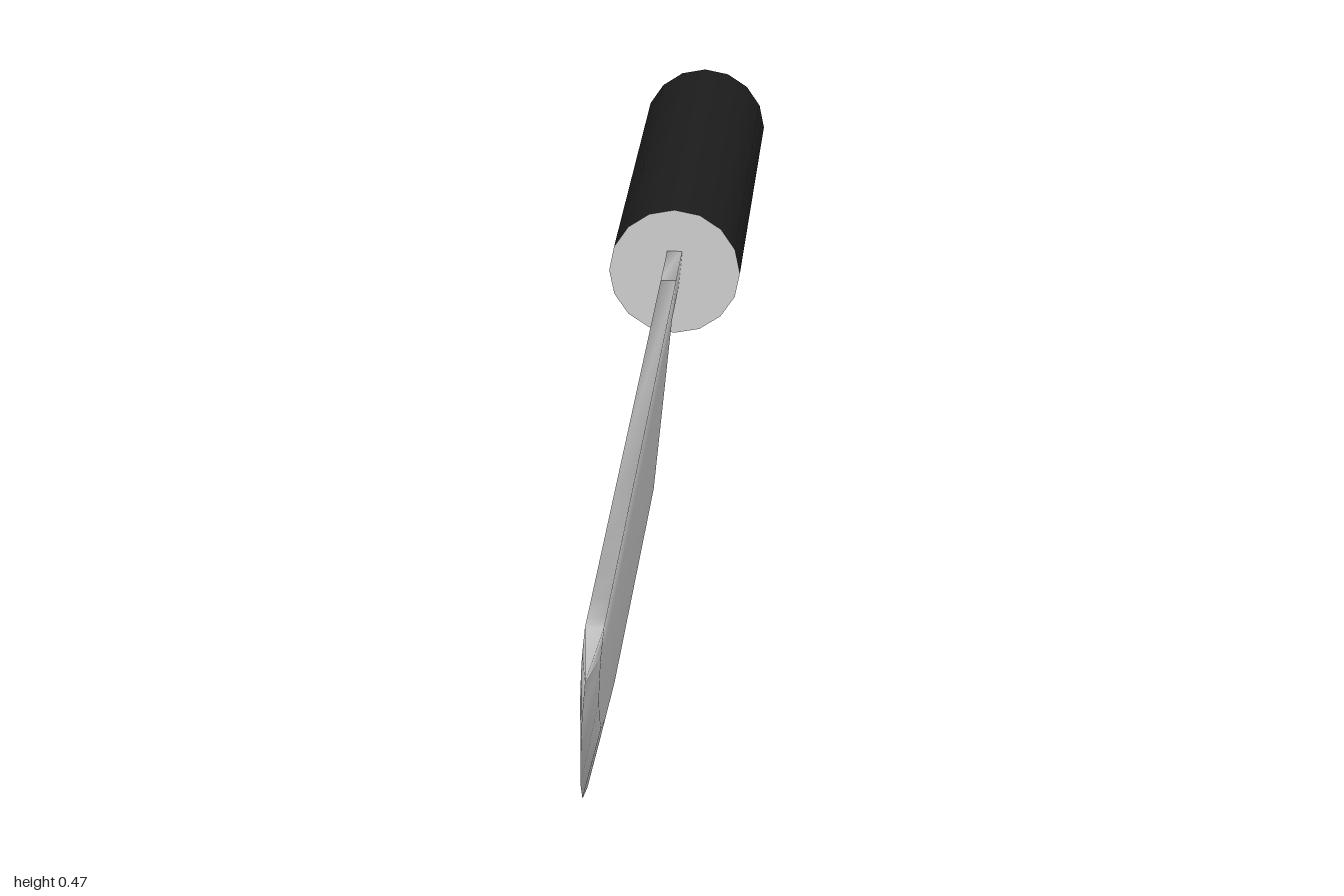
import * as THREE from 'three';

const HALF = 0.011; // half thickness of the steel

// Centre plane of the steel: leans with height and drifts along its length
const planeX = (y, z) => -0.006 - 0.0175 * (z + 0.335) - 0.1 * (0.415 - y);

// Joins rings of [side, y, z] (counterclockwise seen from +z) and closes both ends
function loft(rings) {
  const n = rings[0].length;
  const pos = [], idx = [];
  for (const ring of rings) {
    for (const [s, y, z] of ring) pos.push(planeX(y, z) + s * HALF, y, z);
  }
  for (let i = 0; i < rings.length - 1; i++) {
    for (let j = 0; j < n; j++) {
      const k = (j + 1) % n;
      const a = i * n + j, b = i * n + k, c = b + n, d = a + n;
      idx.push(a, b, c, a, c, d);
    }
  }
  const last = (rings.length - 1) * n;
  for (let k = 1; k < n - 1; k++) {
    idx.push(0, k + 1, k);
    idx.push(last, last + k, last + k + 1);
  }
  const g = new THREE.BufferGeometry();
  g.setAttribute('position', new THREE.Float32BufferAttribute(pos, 3));
  g.setIndex(idx);
  g.computeVertexNormals();
  return g;
}

// One blade section: cutting edge, bevel line, shoulder and spine
function bladeRing([ez, ey, bz, by, tz, ty]) {
  const sy = Math.max(0.36, (by + ty) / 2);
  const sz = THREE.MathUtils.lerp(tz, bz, (ty - sy) / (ty - by));
  return [
    [0, ey, ez],
    [1, by, bz], [1, sy, sz], [1, ty, tz],
    [-1, ty, tz], [-1, sy, sz], [-1, by, bz],
  ];
}

export function createModel() {
  const steel = new THREE.MeshStandardMaterial({ color: 0xcccccc });
  steel.name = 'steel';
  const black = new THREE.MeshStandardMaterial({ color: 0x1c1c1c });
  black.name = 'black';

  const group = new THREE.Group();
  group.name = 'knife';
  const add = (name, geometry, material) => {
    const mesh = new THREE.Mesh(geometry, material);
    mesh.name = name;
    group.add(mesh);
    return mesh;
  };

  // Blade from heel to tip: edge z, y, bevel z, y, spine z, y
  const sections = [
    [-0.217, 0.006, -0.217, 0.09, -0.217, 0.415],
    [0.475, 0.037, 0.45, 0.115, 0.4, 0.417],
    [0.67, 0.08, 0.62, 0.15, 0.58, 0.418],
    [0.77, 0.12, 0.71, 0.185, 0.68, 0.418],
    [0.855, 0.185, 0.785, 0.24, 0.76, 0.419],
    [0.92, 0.255, 0.85, 0.295, 0.83, 0.419],
    [0.98, 0.335, 0.895, 0.355, 0.88, 0.419],
    [1, 0.395, 0.91, 0.385, 0.91, 0.42],
  ];
  add('blade', loft(sections.map(bladeRing)), steel);

  // Tang between blade and handle
  const tangRing = (z) => [[1, 0.355, z], [1, 0.415, z], [-1, 0.415, z], [-1, 0.355, z]];
  add('tang', loft([tangRing(-0.35), tangRing(-0.217)]), steel);

  // Handle with a steel front cap
  const grip = new THREE.CylinderGeometry(0.095, 0.095, 0.663, 16);
  grip.rotateX(Math.PI / 2);
  const handle = add('handle', grip, [black, steel, black]);
  handle.position.set(-0.0005, 0.383, -0.667);
  handle.rotation.y = -0.0175;

  return group;
}
